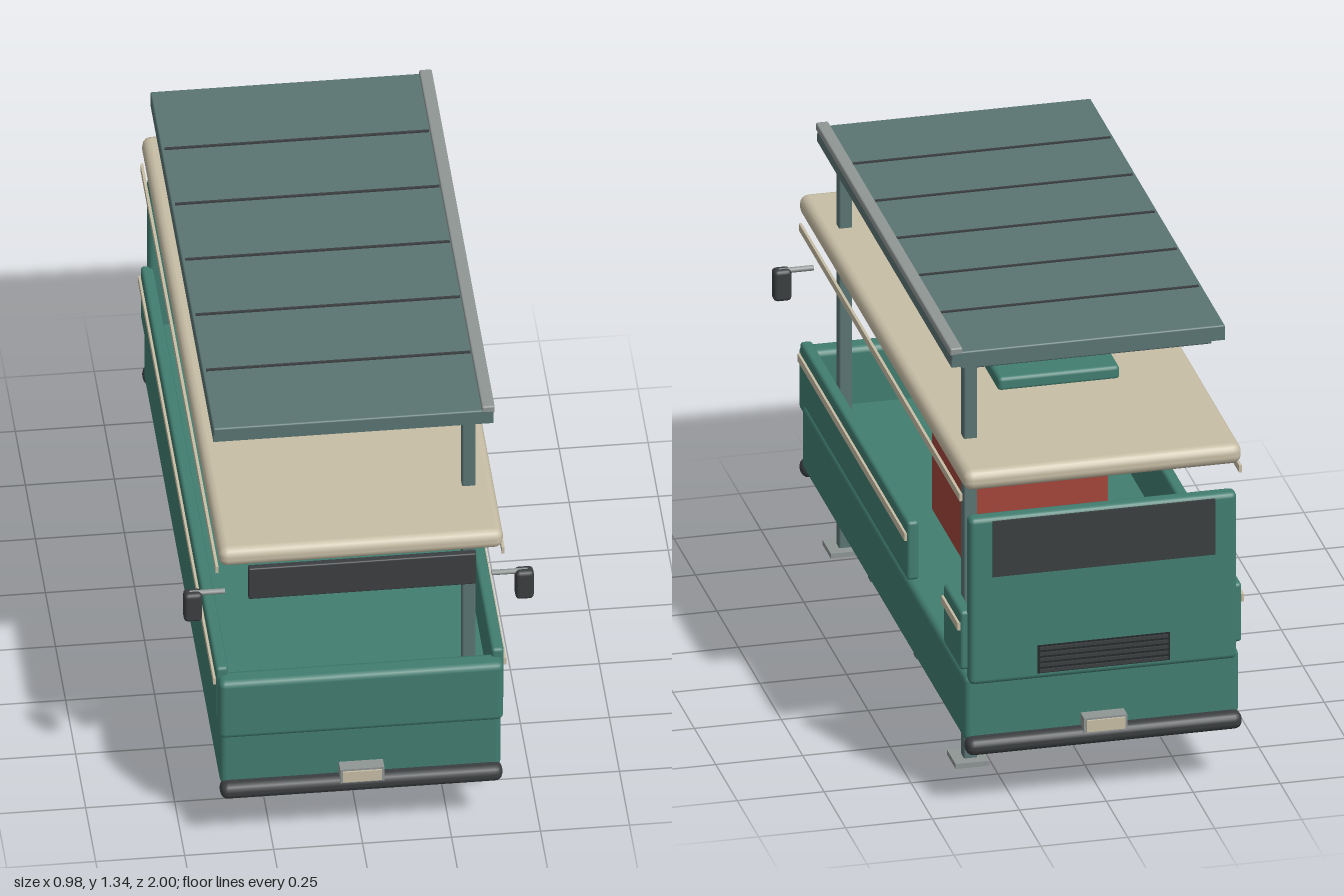
import * as THREE from 'three';
import { RoundedBoxGeometry } from 'three/addons/geometries/RoundedBoxGeometry.js';

const mat = (name, color) => {
  const m = new THREE.MeshStandardMaterial({ color });
  m.name = name;
  return m;
};

export function createModel() {
  const green = mat('body green', 0x417d70);
  const cream = mat('cream', 0xc8bea6);
  const red = mat('cabinet red', 0xa4463b);
  const dark = mat('charcoal', 0x3b3e40);
  const steel = mat('shelter steel', 0x5a7573);
  const grey = mat('light grey', 0x8f9694);
  const black = mat('black', 0x24282a);

  const model = new THREE.Group();
  const group = (name) => {
    const g = new THREE.Group();
    g.name = name;
    model.add(g);
    return g;
  };
  // Box between two corners, with optional rounded edges
  const box = (parent, name, m, x0, x1, y0, y1, z0, z1, r = 0) => {
    const [w, h, d] = [x1 - x0, y1 - y0, z1 - z0];
    const geo = r ? new RoundedBoxGeometry(w, h, d, 2, r) : new THREE.BoxGeometry(w, h, d);
    const mesh = new THREE.Mesh(geo, m);
    mesh.name = name;
    mesh.position.set((x0 + x1) / 2, (y0 + y1) / 2, (z0 + z1) / 2);
    parent.add(mesh);
    return mesh;
  };

  // Vehicle body: lower tub, front and rear panels
  const body = group('vehicleBody');
  box(body, 'lowerBody', green, -0.395, 0.395, 0.2, 0.4, -0.95, 0.955, 0.018);
  box(body, 'frontPanel', green, -0.4, 0.4, 0.375, 0.572, 0.91, 0.975, 0.018);
  box(body, 'rearPanel', green, -0.385, 0.385, 0.38, 0.89, -0.968, -0.92, 0.015);

  // Side panels with a doorway on the left side
  const sidePanel = (side, z0, z1) => {
    const x = (a, b) => (side > 0 ? [a, b] : [-b, -a]);
    box(body, 'sidePanel', green, ...x(0.37, 0.405), 0.418, 0.598, z0, z1, 0.01);
    box(body, 'sideStripe', cream, ...x(0.404, 0.412), 0.54, 0.563, z0 + 0.004, z1 - 0.004);
  };
  sidePanel(1, -0.32, 0.935);
  sidePanel(1, -0.94, -0.74);
  sidePanel(-1, -0.94, 0.935);

  // Rear window and ventilation grille
  box(body, 'rearWindow', dark, -0.32, 0.32, 0.71, 0.88, -0.973, -0.967);
  box(body, 'rearGrille', black, -0.19, 0.19, 0.4, 0.485, -0.971, -0.966);
  for (let i = 0; i < 5; i++) {
    const y = 0.404 + i * 0.017;
    box(body, 'grilleSlat', dark, -0.185, 0.185, y, y + 0.009, -0.976, -0.97);
  }

  // Bumpers and number plates at both ends
  for (const s of [1, -1]) {
    const z = (a, b) => (s > 0 ? [a, b] : [-b, -a]);
    box(body, 'bumper', dark, -0.397, 0.397, 0.17, 0.22, ...z(0.933, 0.99), 0.022);
    box(body, 'plateFrame', grey, -0.062, 0.062, 0.21, 0.257, ...z(0.945, 0.993));
    box(body, 'plate', cream, -0.055, 0.055, 0.216, 0.251, ...z(0.993, 0.998));
  }

  // Roof, hatch, gutter rails and destination sign
  const roof = group('vehicleRoof');
  box(roof, 'roofSlab', cream, -0.4, 0.4, 0.975, 1.036, -0.97, 0.975, 0.026);
  box(roof, 'roofHatch', green, -0.175, 0.175, 1.03, 1.073, -0.45, -0.16, 0.012);
  for (const s of [1, -1])
    box(roof, 'gutterRail', cream, s * 0.402 - 0.004, s * 0.402 + 0.004, 0.936, 0.958, -0.935, 0.94);
  box(roof, 'signBox', dark, -0.32, 0.32, 0.88, 0.986, 0.976, 0.998, 0.004);

  // Mirrors on short arms
  for (const s of [1, -1]) {
    const mirror = group(s > 0 ? 'leftMirror' : 'rightMirror');
    const arm = new THREE.Mesh(new THREE.CylinderGeometry(0.008, 0.008, 0.1, 10), grey);
    arm.name = 'mirrorArm';
    arm.rotation.z = Math.PI / 2;
    arm.position.set(s * 0.425, 0.838, 0.895);
    mirror.add(arm);
    box(mirror, 'mirrorHead', dark, s * 0.466 - 0.026, s * 0.466 + 0.026, 0.75, 0.845, 0.877, 0.917, 0.012);
  }

  // Cabinet standing through the floor
  const cabinet = group('redCabinet');
  box(cabinet, 'cabinetBase', black, -0.205, 0.205, 0, 0.022, -0.165, 0.175);
  box(cabinet, 'cabinetBody', red, -0.212, 0.212, 0.015, 0.91, -0.17, 0.18, 0.008);
  box(cabinet, 'cabinetTop', grey, -0.208, 0.208, 0.905, 0.93, -0.168, 0.182);
  box(cabinet, 'doorFrame', grey, -0.208, 0.17, 0.36, 0.862, 0.18, 0.194);
  box(cabinet, 'doorPanel', red, -0.203, 0.16, 0.37, 0.853, 0.193, 0.201);
  box(cabinet, 'trayFrame', grey, -0.19, 0.087, 0.06, 0.2, 0.178, 0.194);
  box(cabinet, 'trayFlap', dark, -0.172, 0.068, 0.076, 0.19, 0.193, 0.2);
  box(cabinet, 'flapHandle', grey, -0.13, 0.03, 0.148, 0.154, 0.2, 0.205);
  for (let i = 0; i < 5; i++) {
    const y = 0.098 + i * 0.019;
    box(cabinet, 'cabinetVent', black, 0.211, 0.217, y, y + 0.01, -0.1, 0.02);
  }

  // Shelter posts with foot plates
  const shelter = group('shelter');
  for (const z of [0.73, -0.725]) {
    box(shelter, 'shelterPost', steel, 0.308, 0.346, 0.05, 1.275, z - 0.019, z + 0.019, 0.005);
    box(shelter, 'footPlate', grey, 0.28, 0.378, 0.04, 0.055, z - 0.05, z + 0.05);
    box(shelter, 'roofBeam', steel, -0.367, 0.354, 1.25, 1.285, z - 0.019, z + 0.019, 0.005);
  }

  // Shelter roof with seams, rim and edge rail
  box(shelter, 'shelterRoof', steel, -0.395, 0.392, 1.285, 1.323, -0.785, 0.785, 0.005);
  for (const z of [0.777, -0.777])
    box(shelter, 'roofRim', steel, -0.395, 0.392, 1.278, 1.3, z - 0.008, z + 0.008);
  for (const x of [0.384, -0.387])
    box(shelter, 'roofRim', steel, x - 0.008, x + 0.008, 1.278, 1.3, -0.785, 0.785);
  for (let i = -2; i <= 2; i++)
    box(shelter, 'roofSeam', dark, -0.385, 0.358, 1.322, 1.327, i * 0.257 - 0.005, i * 0.257 + 0.003);
  box(shelter, 'edgeRail', grey, 0.36, 0.396, 1.312, 1.336, -0.785, 0.785, 0.005);

  // Bench supports below the floor
  for (const z of [0.505, -0.025])
    box(shelter, 'benchSupport', steel, 0.11, 0.31, 0.045, 0.39, z - 0.016, z + 0.016);

  return model;
}
